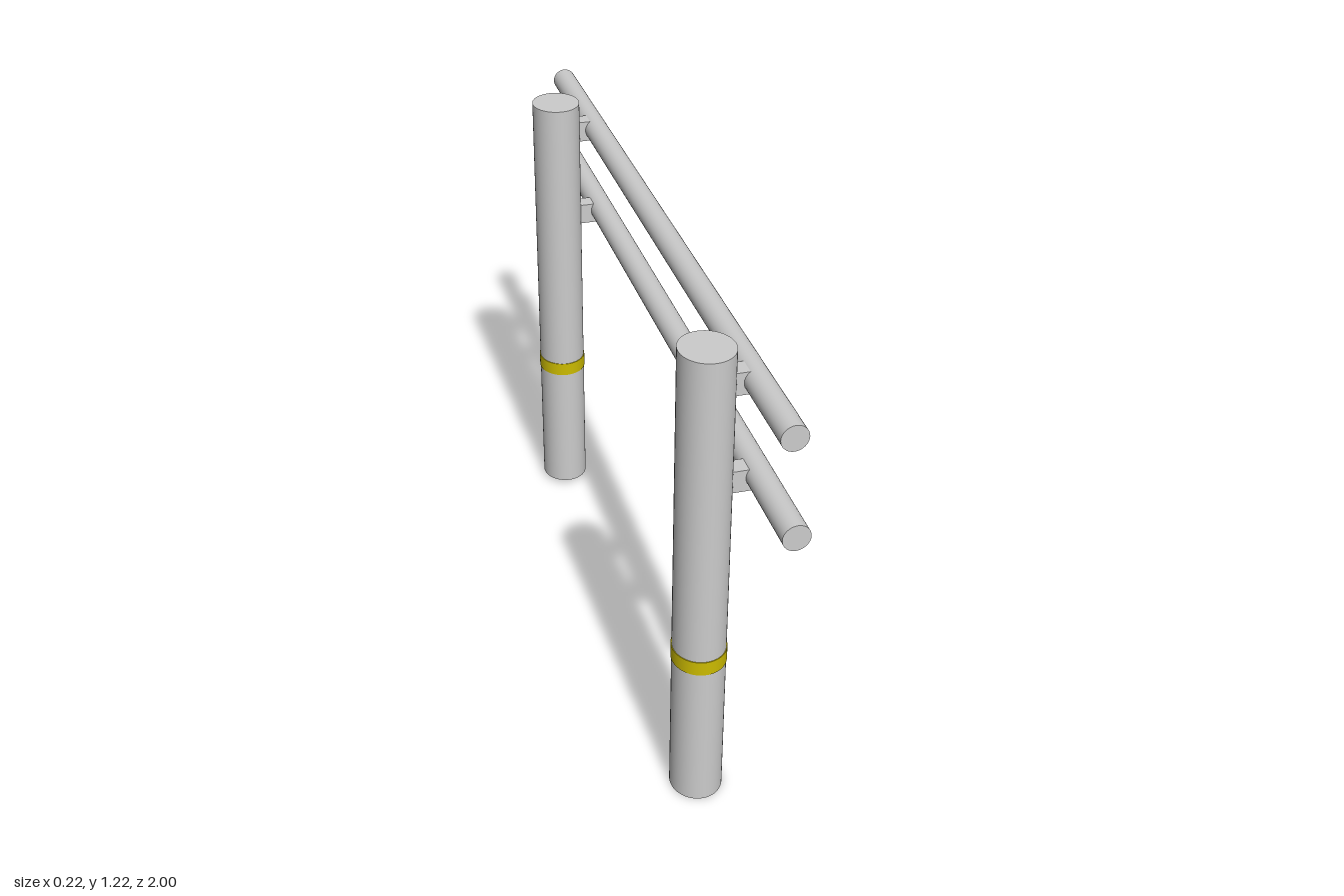
import * as THREE from 'three';

const grey = new THREE.MeshStandardMaterial({ color: 0xcccccc });
const yellow = new THREE.MeshStandardMaterial({ color: 0xccbb00 });

function add(parent, name, geometry, material, x, y, z) {
  const mesh = new THREE.Mesh(geometry, material);
  mesh.name = name;
  mesh.position.set(x, y, z);
  parent.add(mesh);
  return mesh;
}

// Upright cylinder, slightly oval in plan
function upright(rx, rz, y0, y1, open = false) {
  return new THREE.CylinderGeometry(1, 1, y1 - y0, 48, 1, open).scale(rx, 1, rz);
}

export function createModel() {
  const group = new THREE.Group();
  group.name = 'guardRail';
  const postX = -0.047, rx = 0.063, rz = 0.069;

  const posts = [
    { name: 'front', z: 0.748, y0: 0, y1: 1.215 },
    { name: 'back', z: -0.614, y0: 0.015, y1: 1.21 },
  ];
  const rails = [
    { name: 'upper', x: 0.061, y: 1.127, r: 0.031, z0: -0.975, z1: 0.993, bracketY: 1.125 },
    { name: 'lower', x: 0.075, y: 0.884, r: 0.032, z0: -1, z1: 1, bracketY: 0.877 },
  ];

  for (const p of posts) {
    // Post with painted band
    add(group, p.name + 'Post', upright(rx, rz, p.y0, p.y1), grey, postX, (p.y0 + p.y1) / 2, p.z);
    add(group, p.name + 'Band', upright(rx + 0.002, rz + 0.002, 0.39, 0.427), yellow, postX, 0.4085, p.z);

    // Brackets reaching from the post to each rail
    for (const r of rails) {
      const x0 = 0.005, x1 = r.x - 0.012;
      add(group, p.name + r.name + 'Bracket', new THREE.BoxGeometry(x1 - x0, 0.055, 0.045), grey,
        (x0 + x1) / 2, r.bracketY, p.z - 0.003);
    }
  }

  // Horizontal rails along z
  for (const r of rails) {
    const geometry = new THREE.CylinderGeometry(r.r, r.r, r.z1 - r.z0, 32).rotateX(Math.PI / 2);
    add(group, r.name + 'Rail', geometry, grey, r.x, r.y, (r.z0 + r.z1) / 2);
  }

  return group;
}
